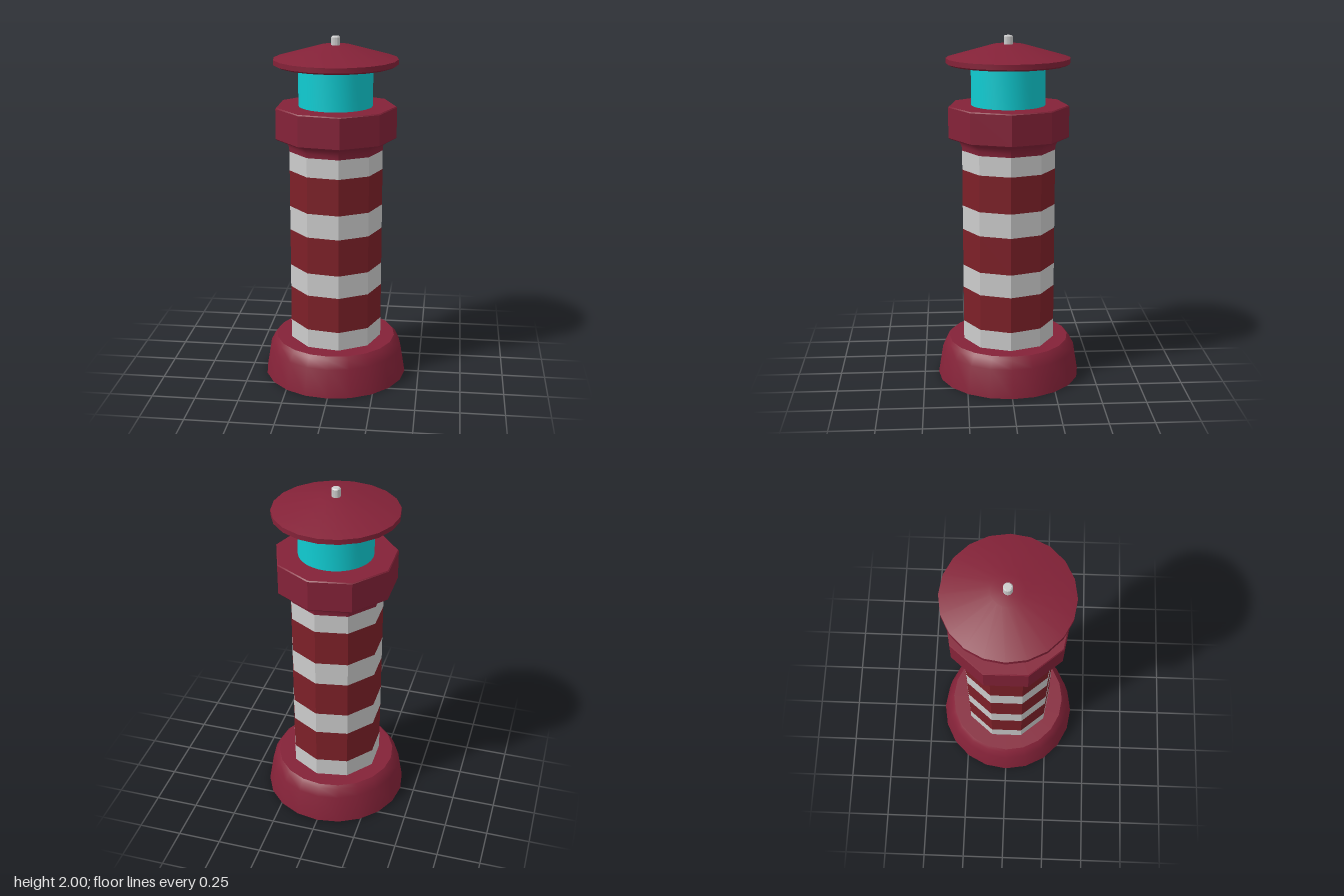
import * as THREE from 'three';
import { toCreasedNormals } from 'three/addons/utils/BufferGeometryUtils.js';

const TRIM = 0x842238, RED = 0x7d2028, TEAL = 0x10ccd2, GREY = 0xcccccc;

// Revolved part from a bottom-to-top [radius, y] profile, one corner on +x;
// facets wider than the crease angle stay sharp.
function turned(name, profile, sides, color) {
  const points = profile.map(([r, y]) => new THREE.Vector2(r, y));
  const lathe = new THREE.LatheGeometry(points, sides, Math.PI / 2);
  const mesh = new THREE.Mesh(
    toCreasedNormals(lathe, THREE.MathUtils.degToRad(33)),
    new THREE.MeshStandardMaterial({ color })
  );
  mesh.name = name;
  return mesh;
}

export function createModel() {
  const model = new THREE.Group();
  model.name = 'lighthouse';

  // Round base with a softened shoulder
  model.add(turned('base', [
    [0, 0], [0.417, 0], [0.39, 0.165], [0.366, 0.213], [0.35, 0.23], [0, 0.23],
  ], 20, TRIM));

  // Nine-sided striped tower
  const tower = new THREE.Group();
  tower.name = 'tower';
  const levels = [0.23, 0.34, 0.55, 0.685, 0.9, 1.04, 1.25, 1.36];
  for (let i = 0; i < levels.length - 1; i++) {
    const red = i % 2 === 1;
    tower.add(turned(red ? 'redStripe' : 'greyStripe',
      [[0.268, levels[i]], [0.268, levels[i + 1]]], 9, red ? RED : GREY));
  }
  model.add(tower);

  // Flared bracket and nine-sided gallery
  model.add(turned('bracket', [
    [0.268, 1.36], [0.27, 1.385], [0.282, 1.41], [0.305, 1.43],
  ], 9, TRIM));
  model.add(turned('gallery', [
    [0.305, 1.43], [0.34, 1.43], [0.345, 1.436], [0.345, 1.607], [0.34, 1.613], [0, 1.613],
  ], 9, TRIM));

  // Lantern room
  model.add(turned('lantern', [[0.21, 1.61], [0.21, 1.84]], 32, TEAL));

  // Roof, its underside and the finial
  model.add(turned('roofUnderside', [[0, 1.838], [0.33, 1.838]], 20, GREY));
  model.add(turned('roof', [
    [0.33, 1.838], [0.35, 1.848], [0.35, 1.876], [0.088, 1.95], [0, 1.95],
  ], 20, TRIM));
  model.add(turned('finial', [
    [0.025, 1.945], [0.025, 1.994], [0.019, 2], [0, 2],
  ], 16, GREY));

  return model;
}
